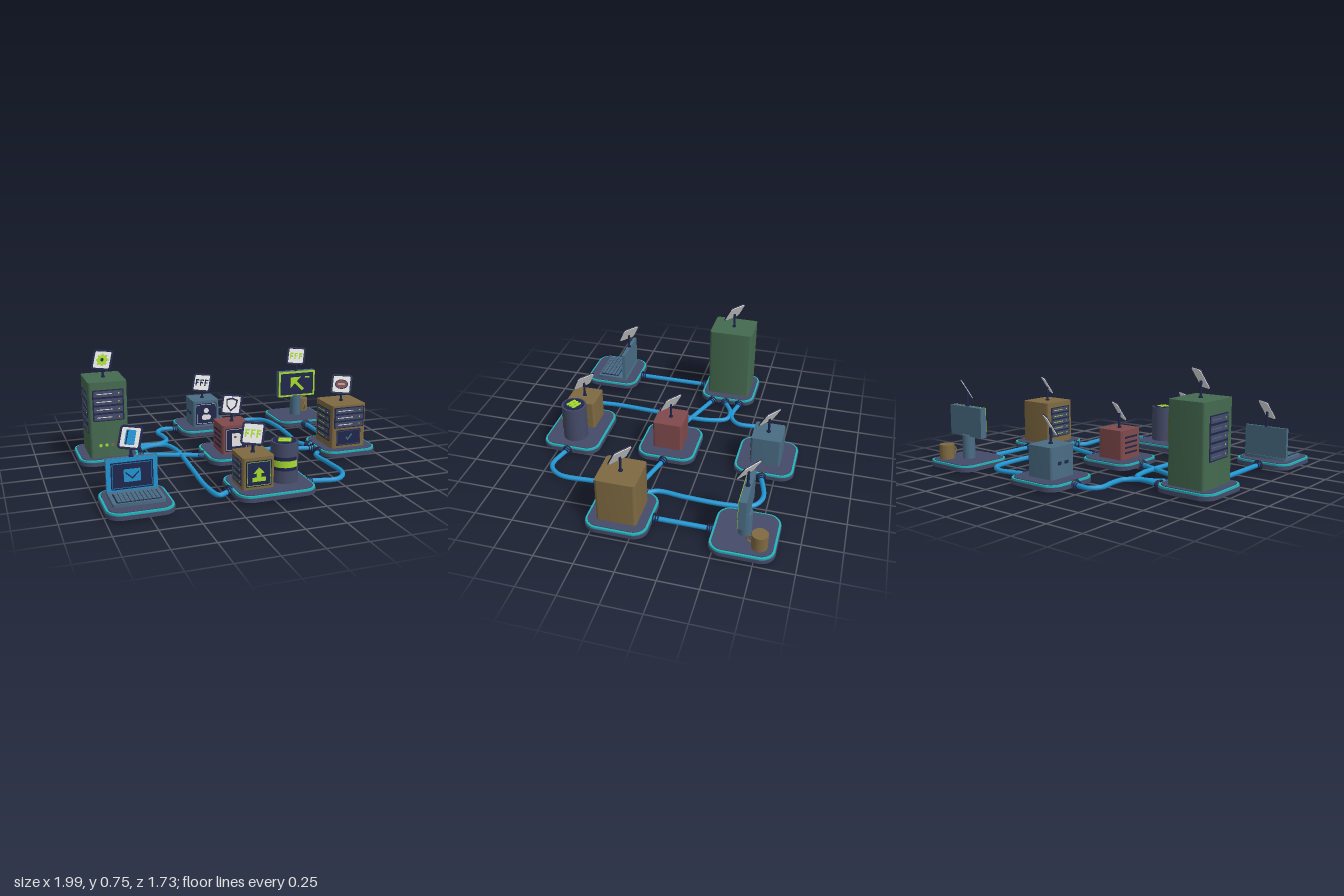
import * as THREE from 'three';
import { toCreasedNormals } from 'three/addons/utils/BufferGeometryUtils.js';

const mat = (name, color) => {
  const m = new THREE.MeshStandardMaterial({ color });
  m.name = name;
  return m;
};
const SLATE = mat('slate', 0x454b69), TEAL = mat('teal', 0x22b4bc), BLUE = mat('cable blue', 0x2196d3),
  NAVY = mat('navy', 0x1f264c), BROWN = mat('brown', 0x7f6a42), GREEN = mat('green', 0x456a50),
  STEEL = mat('steel', 0x4a6c84), RED = mat('red', 0x804a4c), LIME = mat('lime', 0xa8dc30), WHITE = mat('white', 0xf0f0f0);

function add(parent, name, geo, material, x = 0, y = 0, z = 0) {
  const m = new THREE.Mesh(geo, material);
  m.name = name;
  m.position.set(x, y, z);
  parent.add(m);
  return m;
}
function group(parent, name, x = 0, y = 0, z = 0) {
  const g = new THREE.Group();
  g.name = name;
  g.position.set(x, y, z);
  parent.add(g);
  return g;
}

// Flat shapes
function rect(w, h, r = 0.001) {
  const s = new THREE.Shape(), a = w / 2, b = h / 2, q = Math.PI / 2;
  s.absarc(a - r, b - r, r, 0, q);
  s.absarc(-a + r, b - r, r, q, 2 * q);
  s.absarc(-a + r, -b + r, r, 2 * q, 3 * q);
  s.absarc(a - r, -b + r, r, 3 * q, 4 * q);
  s.closePath();
  return s;
}
function frame(w, h, t, r = 0.001) {
  const s = rect(w, h, r);
  s.holes.push(rect(w - 2 * t, h - 2 * t, Math.max(0.001, r - t)));
  return s;
}
const poly = pts => new THREE.Shape(pts.map(p => new THREE.Vector2(p[0], p[1])));
const disc = r => new THREE.Shape().absarc(0, 0, r, 0, Math.PI * 2);
const gear = r => poly(Array.from({ length: 32 }, (_, i) => {
  const a = i / 32 * Math.PI * 2, q = i % 4 < 2 ? r : r * 0.75;
  return [q * Math.cos(a), q * Math.sin(a)];
}));

// Thin plate facing +z
const plate = (p, name, m, shape, x = 0, y = 0, z = 0, d = 0.003) =>
  add(p, name, new THREE.ExtrudeGeometry(shape, { depth: d, bevelEnabled: false, curveSegments: 6 }), m, x, y, z);

// Upright block with rounded vertical corners
function block(p, name, m, w, d, h, r, x, y, z) {
  const g = new THREE.ExtrudeGeometry(rect(w, d, r), { depth: h, bevelEnabled: false, curveSegments: 7 });
  g.rotateX(-Math.PI / 2);
  return add(p, name, toCreasedNormals(g, 0.6), m, x, y, z);
}

function platform(root, name, x, z, w = 0.4) {
  const g = group(root, name, x, 0, z);
  block(g, 'platformFoot', SLATE, w - 0.03, 0.37, 0.01, 0.08, 0, 0.018, 0);
  block(g, 'platformBase', SLATE, w, 0.4, 0.025, 0.09, 0, 0.025, 0);
  block(g, 'platformRim', TEAL, w - 0.008, 0.392, 0.012, 0.087, 0, 0.05, 0);
  block(g, 'platformTop', SLATE, w - 0.034, 0.366, 0.006, 0.075, 0, 0.06, 0);
  return g;
}

// Tilted sign on a short pole; returns the panel for its icon
function sign(parent, x, top, z) {
  const g = group(parent, 'sign', x, top, z);
  add(g, 'signPole', new THREE.CylinderGeometry(0.008, 0.008, 0.1, 10), NAVY, 0, 0.05, 0);
  add(g, 'signFoot', new THREE.CylinderGeometry(0.014, 0.014, 0.008, 12), NAVY, 0, 0.004, 0);
  const panel = group(g, 'signPanel', 0, 0.115, 0);
  panel.rotation.set(-0.53, -0.61, 0, 'YXZ');
  plate(panel, 'signBoard', WHITE, rect(0.132, 0.132, 0.018), 0, 0, -0.004, 0.006);
  plate(panel, 'signFrame', NAVY, frame(0.142, 0.142, 0.013, 0.022), 0, 0, 0, 0.005);
  return panel;
}

// Framed dark screen on a face
function screen(p, w, h, y, border) {
  const g = group(p, 'facePanel', 0, y, 0);
  plate(g, 'panelBack', NAVY, rect(w, h, 0.006));
  if (border) plate(g, 'panelBorder', border, frame(w - 0.012, h - 0.012, 0.003), 0, 0, 0.003, 0.001);
  return g;
}

// Rack panel with rows of slots and status lights
function rack(p, w, h, y, rows, m) {
  const g = screen(p, w, h, y);
  for (let i = 0; i < rows; i++) {
    const ry = h * (0.5 - (i + 0.5) / rows), sh = h / rows * 0.74;
    plate(g, 'slot', SLATE, rect(w * 0.92, sh, 0.004), 0, ry, 0.003, 0.002);
    plate(g, 'slotLine', m, rect(w * 0.5, 0.005), -w * 0.13, ry, 0.005, 0.001);
    plate(g, 'slotLight', LIME, disc(0.005), w * 0.34, ry, 0.005, 0.001);
  }
}
function faces(p, half) {
  const front = group(p, 'frontFace', 0, 0, half), side = group(p, 'sideFace', -half, 0, 0);
  side.rotation.y = -Math.PI / 2;
  return [front, side];
}
const bars = (p, m, z) => [-0.035, 0, 0.035].forEach(x => {
  plate(p, 'iconStem', m, rect(0.009, 0.05), x - 0.008, 0, z, 0.002);
  plate(p, 'iconArm', m, rect(0.02, 0.009), x + 0.004, 0.02, z, 0.002);
  plate(p, 'iconArm', m, rect(0.016, 0.009), x + 0.002, 0, z, 0.002);
});

function cable(root, pts) {
  const curve = new THREE.CatmullRomCurve3(pts.map(([x, z]) => new THREE.Vector3(x, 0.04, z)));
  const g = group(root, 'cable');
  add(g, 'cableTube', new THREE.TubeGeometry(curve, pts.length * 12, 0.016, 10), BLUE);
  for (const end of [0, 1]) {
    const p = curve.getPoint(end), t = curve.getTangent(end).multiplyScalar(end ? -1 : 1);
    [0.012, 0.026, 0.04].forEach((s, i) => {
      const ring = add(g, 'cableCollar', new THREE.TorusGeometry(0.03 - i * 0.005, 0.005, 6, 18), NAVY);
      ring.position.copy(p).addScaledVector(t, s);
      ring.quaternion.setFromUnitVectors(new THREE.Vector3(0, 0, 1), t);
    });
  }
}

export function createModel() {
  const root = new THREE.Group();
  root.name = 'networkDiagram';
  const T = 0.066;

  // Laptop
  const lap = platform(root, 'laptopStation', -0.795, 0.66);
  block(lap, 'laptopBase', STEEL, 0.305, 0.225, 0.02, 0.012, 0, T, -0.005);
  block(lap, 'keyboardBed', NAVY, 0.26, 0.14, 0.003, 0.005, 0, T + 0.02, 0.025);
  for (let r = 0; r < 5; r++) for (let c = 0; c < 10; c++)
    add(lap, 'key', new THREE.BoxGeometry(0.021, 0.004, 0.022), STEEL, (c - 4.5) * 0.025, T + 0.025, 0.025 + (r - 2) * 0.027);
  add(lap, 'laptopLid', new THREE.BoxGeometry(0.305, 0.215, 0.022), STEEL, 0, 0.178, -0.1);
  const ls = group(lap, 'laptopScreen', 0, 0.178, -0.089);
  plate(ls, 'screenFrame', BLUE, rect(0.303, 0.213, 0.008));
  plate(ls, 'screenGlass', NAVY, rect(0.25, 0.165, 0.004), 0, 0, 0.003);
  plate(ls, 'screenLine', BLUE, frame(0.235, 0.15, 0.003), 0, 0, 0.006, 0.001);
  plate(ls, 'envelope', BLUE, rect(0.1, 0.078, 0.008), 0, 0, 0.006, 0.002);
  plate(ls, 'envelopeFlap', NAVY, poly([[-0.04, 0.025], [0, -0.012], [0.04, 0.025], [0.04, 0.015], [0, -0.022], [-0.04, 0.015]]), 0, 0, 0.008, 0.001);
  const lp = sign(lap, 0, 0.285, -0.1);
  plate(lp, 'iconDocument', BLUE, rect(0.062, 0.088, 0.008), 0, 0, 0.002);
  plate(lp, 'iconBinding', NAVY, rect(0.007, 0.088), -0.02, 0, 0.005, 0.001);

  // Tall server
  const srv = platform(root, 'serverStation', -0.795, -0.26);
  block(srv, 'serverTower', GREEN, 0.255, 0.305, 0.51, 0.02, 0, T, 0);
  const [sf, ss] = faces(srv, 0.1525);
  ss.position.x = -0.1275;
  rack(sf, 0.205, 0.21, 0.42, 4, WHITE);
  rack(ss, 0.2, 0.27, 0.36, 5, STEEL);
  [-0.06, -0.02, 0.02].forEach((x, i) => plate(sf, 'statusLight', i < 2 ? LIME : BROWN, disc(0.011), x, 0.15, 0));
  const sp = sign(srv, 0, 0.576, 0);
  plate(sp, 'iconGear', LIME, gear(0.044), 0, 0, 0.002);
  plate(sp, 'iconGearCentre', NAVY, disc(0.012), 0, 0, 0.005, 0.001);

  // Three small cubes: user, file and upload boxes
  const user = platform(root, 'userStation', 0.02, -0.67);
  const file = platform(root, 'fileStation', 0.02, 0);
  const store = platform(root, 'storageStation', 0.025, 0.66, 0.505);
  const cubes = [[user, STEEL, 0, WHITE], [file, RED, 0, WHITE], [store, BROWN, -0.105, LIME]].map(([p, m, x, edge]) => {
    const g = group(p, 'cube', x, 0, 0);
    block(g, 'cubeBody', m, 0.2, 0.2, 0.198, 0.015, 0, T, 0);
    const [front, side] = faces(g, 0.1);
    return [screen(front, 0.16, 0.16, 0.163, edge), side, sign(g, 0, 0.264, 0)];
  });
  const [[uf, us, up], [ff, fs, fp], [bf, bs, bp]] = cubes;
  plate(uf, 'userHead', WHITE, disc(0.02), 0, 0.025, 0.003);
  plate(uf, 'userBody', WHITE, rect(0.07, 0.04, 0.018), 0, -0.025, 0.003);
  [-0.03, 0.03].forEach(x => plate(us, 'sidePort', NAVY, rect(0.03, 0.02), x, 0.16, 0));
  bars(up, NAVY, 0.002);
  plate(ff, 'fileSheet', WHITE, poly([[-0.035, -0.045], [0.035, -0.045], [0.035, 0.025], [0.015, 0.045], [-0.035, 0.045]]), 0, 0, 0.003);
  plate(ff, 'fileMark', RED, rect(0.02, 0.012), -0.012, 0.02, 0.006, 0.001);
  for (let i = 0; i < 4; i++) plate(fs, 'sideVent', NAVY, rect(0.13, 0.012), 0, 0.11 + i * 0.035, 0);
  const shield = (s) => poly([[-0.04, 0.035], [0, 0.048], [0.04, 0.035], [0.034, -0.012], [0, -0.048], [-0.034, -0.012]].map(([x, y]) => [x * s, y * s]));
  plate(fp, 'iconShield', NAVY, shield(1), 0, 0, 0.002);
  plate(fp, 'iconShieldFill', WHITE, shield(0.75), 0, 0, 0.005, 0.001);
  plate(bf, 'uploadTray', LIME, rect(0.085, 0.026), 0, -0.035, 0.003);
  plate(bf, 'uploadStem', LIME, rect(0.03, 0.03), 0, -0.008, 0.003);
  plate(bf, 'uploadArrow', LIME, poly([[-0.035, 0.003], [0.035, 0.003], [0, 0.04]]), 0, 0, 0.003);
  rack(bs, 0.15, 0.15, 0.163, 4, STEEL);
  bars(bp, LIME, 0.002);

  // Data drum
  const drum = group(store, 'dataDrum', 0.1, 0, 0);
  add(drum, 'drumBody', new THREE.CylinderGeometry(0.084, 0.084, 0.25, 36), SLATE, 0, T + 0.125, 0);
  const arc = (name, m, r, h, y) => add(drum, name,
    new THREE.CylinderGeometry(r, r, h, 24, 1, true, -1.5, 2.1), m, 0, y, 0).material.side = THREE.DoubleSide;
  arc('drumBandEdge', NAVY, 0.086, 0.085, 0.19);
  arc('drumBand', LIME, 0.089, 0.042, 0.19);
  add(drum, 'drumLid', new THREE.CylinderGeometry(0.072, 0.072, 0.004, 32), NAVY, 0, T + 0.251, 0);
  const stack = group(drum, 'drumIcon', 0, T + 0.253, 0);
  stack.rotation.set(-Math.PI / 2, 0, -0.45);
  [-0.026, 0, 0.026].forEach(y => plate(stack, 'stackDisc', LIME, rect(0.08, 0.021, 0.01), 0, y, 0));

  // Wide server
  const web = platform(root, 'webServerStation', 0.79, 0.1);
  block(web, 'webServerBody', BROWN, 0.255, 0.255, 0.3, 0.02, 0, T, 0);
  const [wf, ws] = faces(web, 0.1275);
  rack(wf, 0.225, 0.145, 0.28, 3, WHITE);
  rack(ws, 0.19, 0.22, 0.22, 5, LIME);
  const wc = screen(wf, 0.18, 0.11, 0.138, SLATE);
  plate(wc, 'checkMark', STEEL, poly([[-0.025, 0], [-0.008, -0.02], [0.028, 0.02], [0.02, 0.026], [-0.008, -0.006], [-0.018, 0.007]]), 0, 0, 0.003);
  const wp = sign(web, 0, 0.366, 0);
  plate(wp, 'iconOutline', NAVY, disc(0.046), 0, 0, 0.002, 0.002).scale.y = 0.75;
  plate(wp, 'iconDisc', RED, disc(0.04), 0, 0, 0.004, 0.002).scale.y = 0.75;
  plate(wp, 'iconBar', WHITE, rect(0.045, 0.008), 0, 0, 0.006, 0.001);

  // Desk monitor and mug
  const mon = platform(root, 'monitorStation', 0.79, -0.67);
  add(mon, 'monitorStand', new THREE.CylinderGeometry(0.042, 0.042, 0.16, 20), STEEL, 0, T + 0.08, 0.005);
  add(mon, 'monitorBody', new THREE.BoxGeometry(0.305, 0.2, 0.045), STEEL, 0, 0.317, 0.005);
  const ms = group(mon, 'monitorScreen', 0, 0.317, 0.0275);
  plate(ms, 'monitorFrame', LIME, rect(0.305, 0.2, 0.004));
  plate(ms, 'monitorGlass', NAVY, rect(0.275, 0.17, 0.004), 0, 0, 0.003);
  plate(ms, 'cursorHead', LIME, poly([[-0.055, 0.055], [0.03, 0.055], [-0.055, -0.03]]), 0, 0, 0.006);
  plate(ms, 'cursorTail', LIME, rect(0.024, 0.1), 0.015, -0.012, 0.006).rotation.z = 0.785;
  plate(ms, 'windowBar', LIME, rect(0.04, 0.012), 0.085, 0.05, 0.006);
  bars(sign(mon, 0, 0.418, 0.005), LIME, 0.002);
  const mug = group(mon, 'mug', 0.1, T, -0.1);
  add(mug, 'mugBody', new THREE.CylinderGeometry(0.05, 0.05, 0.097, 20), BROWN, 0, 0.0485, 0);
  add(mug, 'mugHandle', new THREE.TorusGeometry(0.025, 0.006, 6, 16), BROWN, 0, 0.048, 0.05).rotation.y = Math.PI / 2;

  // Cables between the stations, as [x, z] paths
  [
    [[-0.795, -0.07], [-0.795, 0.47]],
    [[0.79, -0.48], [0.79, -0.09]],
    [[-0.6, -0.365], [-0.415, -0.34], [-0.335, -0.4], [-0.33, -0.505], [-0.345, -0.62], [-0.29, -0.685], [-0.17, -0.67]],
    [[-0.6, -0.25], [-0.46, -0.322], [-0.37, -0.31], [-0.325, -0.185], [-0.33, 0.19], [-0.34, 0.565], [-0.31, 0.715], [-0.22, 0.66]],
    [[-0.6, -0.165], [-0.17, -0.005]],
    [[0.21, -0.005], [0.6, 0.1]],
    [[0.21, -0.665], [0.43, -0.715], [0.52, -0.665], [0.553, -0.505], [0.55, -0.24], [0.54, -0.05], [0.6, 0.04]],
    [[0.265, 0.665], [0.47, 0.7], [0.55, 0.61], [0.55, 0.4], [0.542, 0.24], [0.6, 0.17]],
  ].forEach(p => cable(root, p));
  return root;
}
